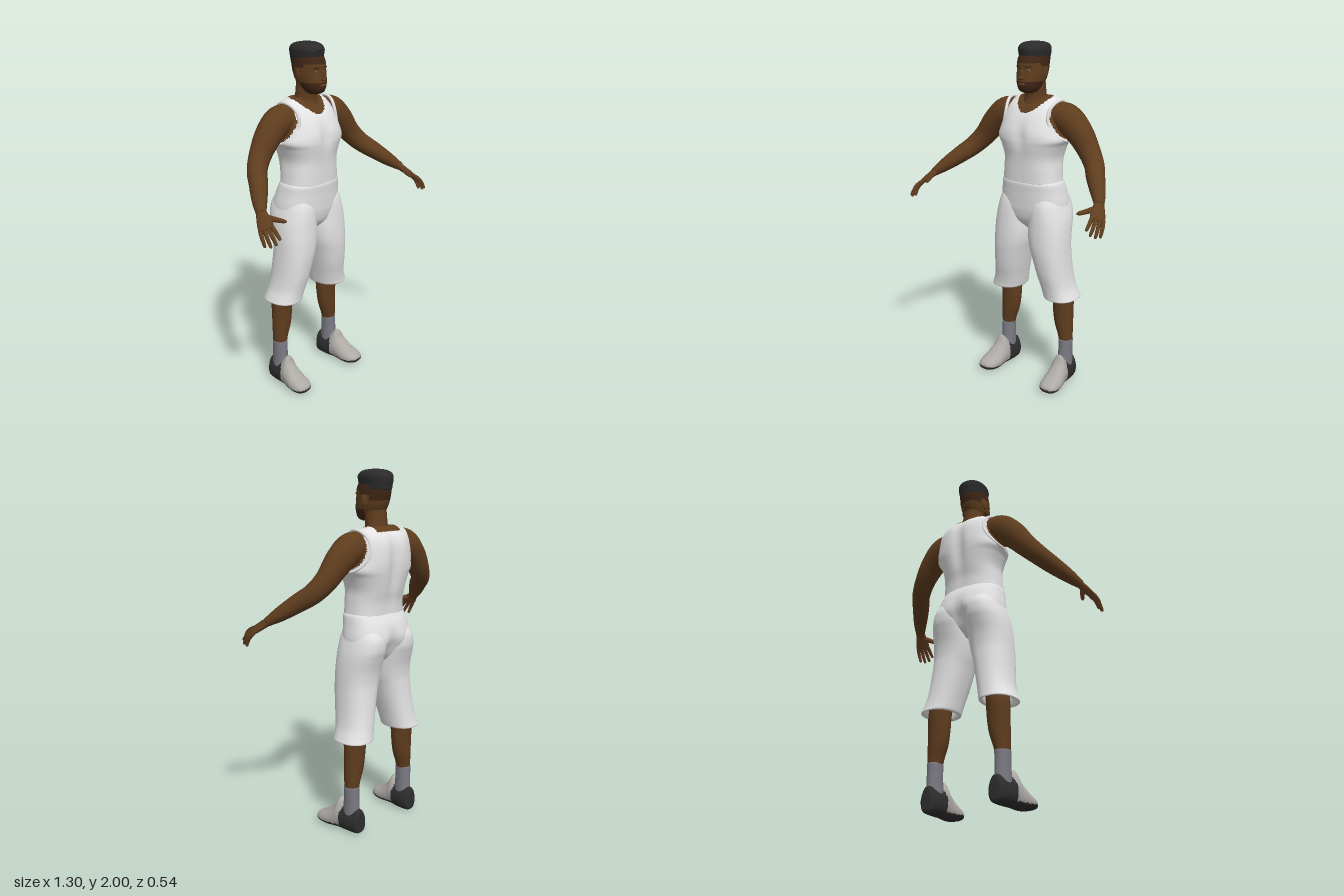
import * as THREE from 'three';

const mat = (name, color) => {
  const m = new THREE.MeshStandardMaterial({ color });
  m.name = name;
  return m;
};

// Smoothly interpolate rows of numbers (Catmull-Rom), sub steps per span
function spline(rows, sub) {
  const out = [], n = rows.length;
  const at = i => rows[Math.max(0, Math.min(n - 1, i))];
  const mix = (a, b, c, d, t) => {
    const cubic = 3 * (b - c) + d - a;
    const square = 2 * a - 5 * b + 4 * c - d;
    return b + 0.5 * t * (c - a + t * (square + t * cubic));
  };
  for (let i = 0; i < n - 1; i++) for (let k = 0; k < sub; k++) {
    const [a, b, c, d] = [at(i - 1), at(i), at(i + 1), at(i + 2)];
    out.push(b.map((v, j) => mix(a[j], v, c[j], d[j], k / sub)));
  }
  out.push(rows[n - 1]);
  return out;
}

// Skin a stack of rings and close both ends; s = -1 mirrors in x
function skin(rings, s = 1) {
  const n = rings[0].length, pos = [], idx = [];
  const centre = r => r.reduce((a, p) => a.add(p), new THREE.Vector3()).divideScalar(n);
  rings.forEach(r => r.forEach(p => pos.push(p.x * s, p.y, p.z)));
  const tri = (a, b, c) => (s > 0 ? idx.push(a, b, c) : idx.push(a, c, b));
  const last = (rings.length - 1) * n, c0 = rings.length * n;
  for (const r of [rings[0], rings[rings.length - 1]]) {
    const c = centre(r);
    pos.push(c.x * s, c.y, c.z);
  }
  for (let j = 0; j < n; j++) {
    const k = (j + 1) % n;
    for (let i = 0; i < last; i += n) {
      tri(i + j, i + k, i + n + j);
      tri(i + k, i + n + k, i + n + j);
    }
    tri(c0, k, j);
    tri(c0 + 1, last + j, last + k);
  }
  const g = new THREE.BufferGeometry();
  g.setAttribute('position', new THREE.Float32BufferAttribute(pos, 3));
  g.setIndex(idx);
  g.computeVertexNormals();
  return g;
}

const sgnPow = (v, p) => Math.sign(v) * Math.abs(v) ** p;

// Upright loft; rows are [y, xMin, xMax, zFront, zBack]
function upright(rows, { s = 1, e = 2, seg = 40, sub = 5, tweak } = {}) {
  return skin(spline(rows, sub).map(([y, x0, x1, zf, zb]) => Array.from({ length: seg }, (_, j) => {
    const a = j / seg * Math.PI * 2;
    const p = new THREE.Vector3((x0 + x1) / 2 + (x1 - x0) / 2 * sgnPow(Math.cos(a), 2 / e), y,
      (zf + zb) / 2 - (zf - zb) / 2 * sgnPow(Math.sin(a), 2 / e));
    if (tweak) tweak(p);
    return p;
  })), s);
}
const sym = rows => rows.map(([y, w, zf, zb]) => [y, -w, w, zf, zb]);

// Limb along a path; rows are [x, y, z, width radius, thickness radius]
function limb(rows, s, across = new THREE.Vector3(0, 0, 1), seg = 24) {
  const r = spline(rows, 6), P = r.map(q => new THREE.Vector3(q[0], q[1], q[2]));
  return skin(r.map((q, i) => {
    const T = P[Math.min(i + 1, P.length - 1)].clone().sub(P[Math.max(i - 1, 0)]).normalize();
    const N = across.clone().addScaledVector(T, -across.dot(T)).normalize();
    const B = T.clone().cross(N);
    return Array.from({ length: seg }, (_, j) => {
      const a = j / seg * Math.PI * 2;
      return P[i].clone().addScaledVector(N, q[3] * Math.cos(a)).addScaledVector(B, q[4] * Math.sin(a));
    });
  }), s);
}

// Sort faces into material groups 0 and 1 by a rule on face centre and normal
function paint(g, rule) {
  const lists = [[], []], id = g.index.array, P = g.attributes.position;
  const t = new THREE.Triangle(), c = new THREE.Vector3(), n = new THREE.Vector3();
  for (let i = 0; i < id.length; i += 3) {
    t.setFromAttributeAndIndices(P, id[i], id[i + 1], id[i + 2]);
    t.getMidpoint(c);
    t.getNormal(n);
    lists[rule(c, n) ? 1 : 0].push(id[i], id[i + 1], id[i + 2]);
  }
  g.setIndex(lists.flat());
  g.addGroup(0, lists[0].length, 0);
  g.addGroup(lists[0].length, lists[1].length, 1);
  return g;
}

export function createModel() {
  const root = new THREE.Group();
  root.name = 'standingMan';
  const skinTone = mat('skin', 0x5f3d1e), palmTone = mat('palm', 0x74452b), cloth = mat('whiteCloth', 0xe4e4e4),
    hair = mat('hair', 0x2b2b2c), stubble = mat('stubble', 0x402616), eyeTone = mat('eye', 0x857b70),
    sockTone = mat('sock', 0x7b7a84), shoeTone = mat('shoe', 0xaeaaa6), rubber = mat('darkRubber', 0x2e2e2e);
  const add = (name, g, m) => {
    const mesh = new THREE.Mesh(g, m);
    mesh.name = name;
    root.add(mesh);
    return mesh;
  };
  const blob = (name, m, [x, y, z], [a, b, c], ry = 0) => {
    const o = add(name, new THREE.SphereGeometry(1, 20, 14), m);
    o.position.set(x, y, z);
    o.scale.set(a, b, c);
    o.rotation.y = ry;
  };

  // Tank top, with bare neckline and armholes
  const groove = (p, back, front) => {
    const k = Math.exp(-((p.x / 0.035) ** 2));
    p.z += p.z < -0.13 ? back(p.y) * k : -front(p.y) * k;
  };
  const bump = (y, c, w) => Math.exp(-(((y - c) / w) ** 2));
  const torso = upright(sym([
    [1.232, 0.178, 0.015, -0.23], [1.30, 0.172, 0.017, -0.235], [1.37, 0.17, 0.02, -0.252],
    [1.44, 0.192, 0.03, -0.265], [1.48, 0.213, 0.032, -0.27], [1.53, 0.2, 0.024, -0.273],
    [1.60, 0.185, -0.008, -0.267], [1.65, 0.172, -0.045, -0.25], [1.685, 0.145, -0.085, -0.222],
    [1.705, 0.095, -0.105, -0.2],
  ]), { e: 2.5, seg: 96, sub: 8, tweak: p => groove(p, y => 0.02 * bump(y, 1.5, 0.16), y => 0.014 * bump(y, 1.5, 0.07)) });
  add('tankTop', paint(torso, ({ x, y, z }) =>
    (z > -0.15 ? y > 1.62 + 7.5 * x * x : y > 1.68 && Math.abs(x) < 0.09) ||
    (Math.abs(x) > 0.15 && ((y - 1.585) / 0.1) ** 2 + ((z + 0.13) / 0.085) ** 2 < 1)), [cloth, skinTone]);

  // Seat of the shorts
  add('shortsSeat', upright(sym([
    [0.95, 0.06, -0.06, -0.17], [1.0, 0.14, -0.012, -0.225], [1.06, 0.203, 0.006, -0.262],
    [1.11, 0.208, 0.011, -0.274], [1.18, 0.196, 0.015, -0.257], [1.225, 0.188, 0.018, -0.236],
    [1.24, 0.18, 0.012, -0.228],
  ]), { e: 2.4, seg: 64, tweak: p => groove(p, y => 0.03 * bump(y, 1.06, 0.08), () => 0) }), cloth);

  // Neck and head
  add('neck', upright(sym([
    [1.6, 0.1, -0.05, -0.21], [1.66, 0.078, -0.058, -0.2], [1.7, 0.065, -0.068, -0.186],
    [1.75, 0.062, -0.06, -0.18], [1.81, 0.06, -0.05, -0.175],
  ])), skinTone);
  const head = upright(sym([
    [1.728, 0.03, -0.03, -0.11], [1.742, 0.05, -0.005, -0.135], [1.775, 0.066, 0.005, -0.165],
    [1.81, 0.074, 0.004, -0.187], [1.85, 0.078, -0.002, -0.2], [1.89, 0.078, -0.003, -0.208],
    [1.93, 0.073, -0.02, -0.208], [1.96, 0.05, -0.05, -0.18],
  ]), { e: 2.15, seg: 64, sub: 8 });
  add('head', paint(head, ({ y, z }) => y > 1.89 || (y < 1.792 && z > -0.1) ||
    (z < -0.075 && y > 1.87) || (z < -0.14 && y > 1.84)), [skinTone, stubble]);
  add('hair', upright(sym([
    [1.905, 0.074, -0.022, -0.212], [1.93, 0.077, -0.016, -0.215], [1.96, 0.081, -0.014, -0.219],
    [1.982, 0.074, -0.03, -0.206], [1.995, 0.053, -0.06, -0.175], [2.0, 0.02, -0.1, -0.135],
  ]), { e: 2.2, tweak: p => { if (p.y < 1.95) p.y += (p.z + 0.115) * 0.12; } }), hair);
  blob('noseBridge', skinTone, [0, 1.832, 0.0], [0.009, 0.027, 0.011]);
  blob('noseTip', skinTone, [0, 1.812, 0.005], [0.017, 0.011, 0.014]);
  blob('mouth', palmTone, [0, 1.778, 0.001], [0.024, 0.007, 0.008]);

  for (const s of [1, -1]) {
    const side = s > 0 ? 'left' : 'right';

    // Face details
    blob(side + 'Eye', eyeTone, [0.032 * s, 1.852, -0.012], [0.012, 0.006, 0.005], 0.4 * s);
    blob(side + 'Iris', hair, [0.032 * s, 1.852, -0.009], [0.005, 0.005, 0.004], 0.4 * s);
    blob(side + 'Brow', stubble, [0.034 * s, 1.872, -0.011], [0.02, 0.004, 0.005], 0.45 * s);
    blob(side + 'Ear', skinTone, [0.079 * s, 1.835, -0.112], [0.007, 0.032, 0.019], 0.3 * s);

    // Armhole hem
    const hem = Array.from({ length: 16 }, (_, i) => {
      const a = i / 16 * Math.PI * 2, c = Math.cos(a), y = Math.sin(a);
      return new THREE.Vector3(s * (0.188 - 0.025 * y - 0.04 * c * c), 1.582 + 0.108 * y, -0.132 + 0.095 * c);
    });
    add(side + 'ArmholeHem', new THREE.TubeGeometry(new THREE.CatmullRomCurve3(hem, true), 48, 0.009, 8, true), cloth);

    // Arm
    add(side + 'Arm', limb([
      [0.13, 1.60, -0.135, 0.07, 0.08], [0.21, 1.592, -0.135, 0.077, 0.086], [0.29, 1.53, -0.13, 0.07, 0.077],
      [0.36, 1.445, -0.118, 0.058, 0.064], [0.42, 1.378, -0.082, 0.053, 0.056], [0.47, 1.328, -0.02, 0.05, 0.05],
      [0.53, 1.27, 0.05, 0.04, 0.039], [0.575, 1.225, 0.108, 0.026, 0.023],
    ], s), skinTone);

    // Hand: flat palm, four fingers and a thumb, lighter underneath
    const across = new THREE.Vector3(0.7, -0.35, -0.63);
    const handPart = (name, rows, seg) => add(side + name, paint(limb(rows, s, across, seg),
      (c, n) => n.x * s * 0.6 + n.y * 0.75 + n.z * 0.25 < -0.35), [skinTone, palmTone]);
    handPart('Palm', [
      [0.568, 1.232, 0.098, 0.026, 0.022], [0.584, 1.209, 0.13, 0.035, 0.019],
      [0.601, 1.186, 0.163, 0.041, 0.016], [0.612, 1.171, 0.187, 0.036, 0.01],
    ], 24);
    const tips = [[0.6, 1.135, 0.268], [0.62, 1.11, 0.262], [0.635, 1.095, 0.238], [0.643, 1.09, 0.203]];
    tips.forEach((t, i) => {
      const k = i / 3, b = [0.587 + 0.042 * k, 1.187 - 0.021 * k, 0.192 - 0.038 * k];
      const mid = b.map((v, j) => (v + t[j]) / 2 + [0.005, 0.007, 0.002][j]);
      const near = mid.map((v, j) => v + (t[j] - v) * 0.85);
      handPart('Finger' + (i + 1), [[...b, 0.011, 0.011], [...mid, 0.0105, 0.01],
        [...near, 0.008, 0.008], [...t, 0.003, 0.003]], 12);
    });
    handPart('Thumb', [[0.578, 1.215, 0.128, 0.018, 0.016], [0.548, 1.206, 0.175, 0.014, 0.013],
      [0.527, 1.201, 0.215, 0.011, 0.01], [0.518, 1.199, 0.23, 0.004, 0.004]], 12);

    // Shorts leg with a hollow hem
    add(side + 'ShortsLeg', upright([
      [0.62, 0.11, 0.24, -0.05, -0.22], [0.56, 0.115, 0.268, -0.045, -0.235], [0.542, 0.106, 0.28, -0.036, -0.246],
      [0.545, 0.093, 0.29, -0.028, -0.253], [0.57, 0.086, 0.28, -0.026, -0.248], [0.62, 0.075, 0.262, -0.018, -0.24],
      [0.7, 0.055, 0.25, 0.0, -0.232], [0.8, 0.03, 0.243, 0.014, -0.226], [0.86, 0.013, 0.24, 0.018, -0.225],
      [0.93, 0.002, 0.237, 0.018, -0.235], [1.0, 0.0, 0.231, 0.015, -0.256], [1.05, 0.0, 0.222, 0.012, -0.27],
      [1.11, 0.005, 0.205, 0.004, -0.268], [1.16, 0.02, 0.185, -0.015, -0.24],
    ], { s, e: 2.3, seg: 48 }), cloth);

    // Lower leg and sock
    add(side + 'Leg', upright([
      [0.25, 0.178, 0.254, -0.109, -0.193], [0.3, 0.166, 0.256, -0.106, -0.196], [0.37, 0.142, 0.257, -0.1, -0.202],
      [0.45, 0.13, 0.256, -0.097, -0.207], [0.54, 0.126, 0.254, -0.09, -0.214], [0.65, 0.12, 0.235, -0.07, -0.215],
    ], { s }), skinTone);
    add(side + 'Sock', upright([
      [0.1, 0.174, 0.256, -0.09, -0.202], [0.17, 0.175, 0.255, -0.1, -0.199],
      [0.22, 0.175, 0.256, -0.103, -0.197], [0.272, 0.174, 0.257, -0.104, -0.197],
    ], { s }), sockTone);

    // Shoe, lofted heel to toe; rows are [z, x centre, half width, bottom, top]
    const shoe = spline([
      [-0.222, 0.212, 0.028, 0.02, 0.12], [-0.212, 0.212, 0.042, 0.004, 0.142], [-0.17, 0.213, 0.05, 0.0, 0.146],
      [-0.12, 0.216, 0.053, 0.0, 0.155], [-0.078, 0.22, 0.055, 0.0, 0.19], [-0.05, 0.223, 0.058, 0.0, 0.145],
      [0.0, 0.227, 0.063, 0.0, 0.098], [0.045, 0.23, 0.059, 0.004, 0.075], [0.075, 0.232, 0.044, 0.012, 0.06],
      [0.087, 0.232, 0.022, 0.022, 0.046],
    ], 6).map(([z, cx, w, y0, y1]) => Array.from({ length: 40 }, (_, j) => {
      const a = j / 40 * Math.PI * 2, v = sgnPow(Math.sin(a), 0.75);
      const taper = 1 - Math.max(0, v) * Math.min(0.45, (y1 - y0) * 2.4);
      return new THREE.Vector3(cx + w * taper * sgnPow(Math.cos(a), 0.75), (y0 + y1) / 2 + (y1 - y0) / 2 * v, z);
    }));
    add(side + 'Shoe', paint(skin(shoe, s), ({ y, z }) =>
      y < 0.026 + Math.max(0, z) * 0.12 || z < -0.098 - Math.max(0, y - 0.1) * 0.3), [shoeTone, rubber]);
  }
  return root;
}
